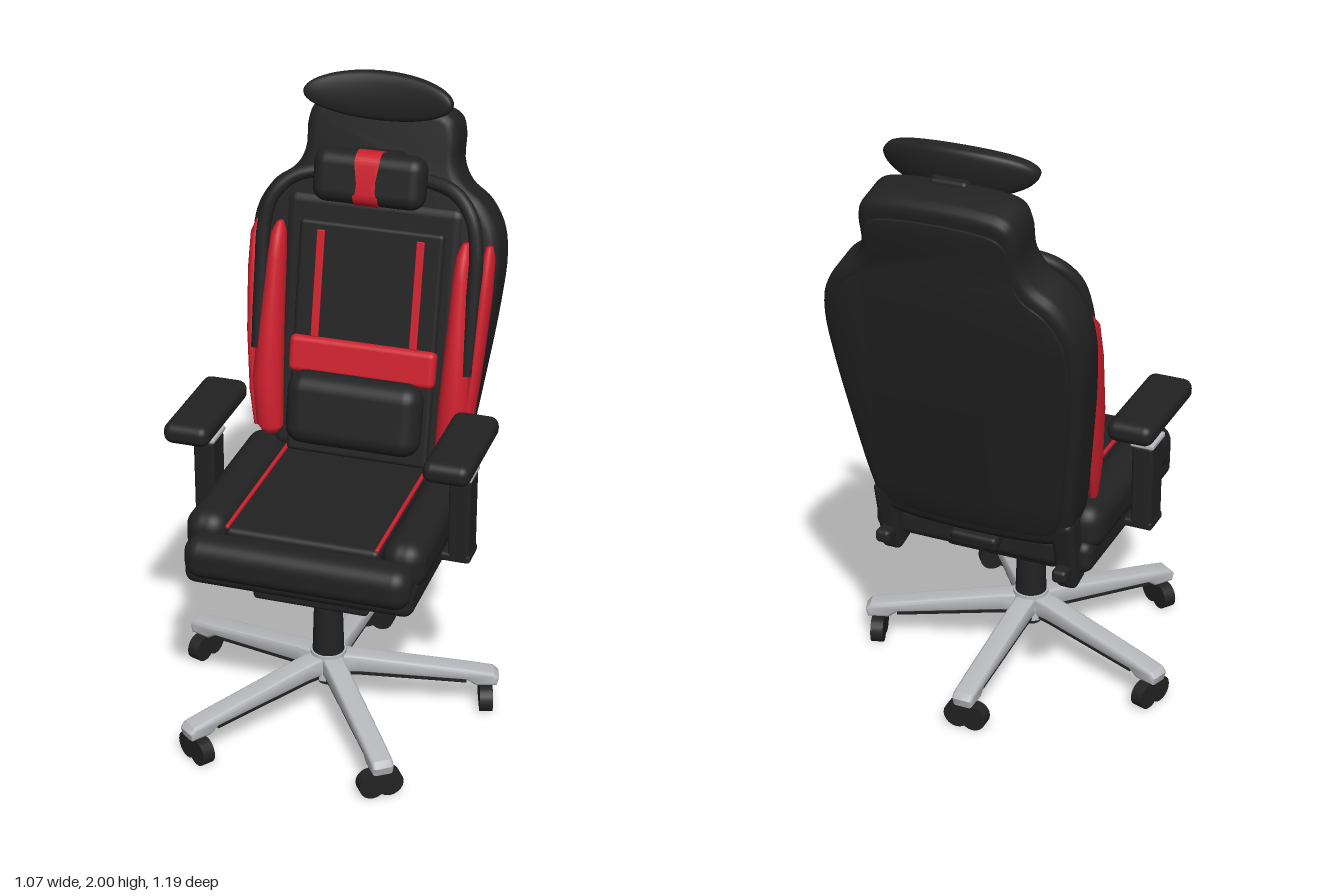
import * as THREE from 'three';
import { toCreasedNormals } from 'three/addons/utils/BufferGeometryUtils.js';
import { RoundedBoxGeometry } from 'three/addons/geometries/RoundedBoxGeometry.js';

const mat = (name, color) => {
  const m = new THREE.MeshStandardMaterial({ color });
  m.name = name;
  return m;
};

export function createModel() {
  const black = mat('black leather', 0x222222);
  const red = mat('red leather', 0xcc1f2d);
  const silver = mat('silver metal', 0xb8b9bd);
  const chair = new THREE.Group();
  chair.name = 'officeChair';

  const add = (parent, name, geo, material, pos = [0, 0, 0], rx = 0) => {
    const m = new THREE.Mesh(geo, material);
    m.name = name;
    m.position.set(...pos);
    m.rotation.x = rx;
    parent.add(m);
    return m;
  };
  const box = (parent, name, material, size, pos, r = 0.02, rx = 0) =>
    add(parent, name, new RoundedBoxGeometry(...size, 4, r), material, pos, rx);
  const cyl = (parent, name, material, r1, r2, y1, y2, z) =>
    add(parent, name, new THREE.CylinderGeometry(r1, r2, y2 - y1, 32), material, [0, (y1 + y2) / 2, z]);
  // extrusion centred on z with a rounded edge kept inside the outline
  const slab = (shape, depth, bevel, steps = 4) => {
    const g = new THREE.ExtrudeGeometry(shape, {
      depth: depth - 2 * bevel, bevelThickness: bevel, bevelSize: bevel, bevelOffset: -bevel,
      bevelSegments: steps, curveSegments: 60, bevelEnabled: bevel > 0
    });
    g.translate(0, 0, bevel - depth / 2);
    return toCreasedNormals(g, 0.6);
  };
  const poly = pts => new THREE.Shape(pts.map(p => new THREE.Vector2(...p)));

  // elliptical sections [x, y, z, rx, rz] stacked upward into a closed padded strip
  const loft = (sections, side) => {
    const n = 20, pos = [], idx = [];
    const first = sections[0], last = sections[sections.length - 1];
    const rows = [[...first.slice(0, 3), 0, 0], ...sections, [...last.slice(0, 3), 0, 0]];
    rows.forEach(([x, y, z, rx, rz], i) => {
      for (let j = 0; j < n; j++) {
        const a = j / n * Math.PI * 2;
        pos.push(side * x + rx * Math.cos(a), y, z + rz * Math.sin(a));
        if (i) {
          const a0 = (i - 1) * n + j, a1 = (i - 1) * n + (j + 1) % n;
          idx.push(a0, a0 + n, a1, a1, a0 + n, a1 + n);
        }
      }
    });
    const g = new THREE.BufferGeometry();
    g.setAttribute('position', new THREE.Float32BufferAttribute(pos, 3));
    g.setIndex(idx);
    g.computeVertexNormals();
    return g;
  };

  // five-spoke base
  const cz = 0.13;
  const spokeShape = poly([[0, 0.145], [0.1, 0.145], [0.45, 0.113], [0.48, 0.092], [0.55, 0.092],
    [0.557, 0.12], [0.54, 0.138], [0.46, 0.152], [0.1, 0.205], [0, 0.215]]);
  const underShape = poly([[0.05, 0.134], [0.1, 0.134], [0.45, 0.102], [0.45, 0.125], [0.05, 0.16]]);
  for (let k = 0; k < 5; k++) {
    const leg = new THREE.Group();
    leg.name = 'baseLeg';
    leg.position.z = cz;
    leg.rotation.y = Math.PI / 2 + k * Math.PI * 0.4;
    chair.add(leg);
    add(leg, 'spoke', slab(spokeShape, 0.07, 0.012), silver);
    add(leg, 'spokeUnderside', slab(underShape, 0.056, 0), black);
    box(leg, 'casterStem', black, [0.04, 0.07, 0.04], [0.515, 0.08, 0], 0.008);
    for (const s of [-1, 1]) {
      const wheel = add(leg, 'casterWheel', new THREE.CylinderGeometry(0.044, 0.044, 0.042, 20), black, [0.515, 0.044, s * 0.028]);
      wheel.rotation.z = Math.PI / 2;
    }
  }
  cyl(chair, 'hub', silver, 0.058, 0.065, 0.13, 0.22, cz);
  cyl(chair, 'gasLiftSleeve', black, 0.046, 0.052, 0.21, 0.4, cz);
  cyl(chair, 'gasLift', black, 0.043, 0.043, 0.4, 0.5, cz);
  cyl(chair, 'columnFoot', black, 0.035, 0.035, 0.1, 0.14, cz);

  // tilt mechanism
  box(chair, 'mechanism', black, [0.38, 0.08, 0.44], [0, 0.52, 0.1], 0.015);
  box(chair, 'mechanismMount', black, [0.2, 0.06, 0.25], [0, 0.57, 0.1], 0.01);
  box(chair, 'lever', black, [0.14, 0.022, 0.03], [0.23, 0.512, 0.2], 0.008);
  box(chair, 'leverGrip', black, [0.06, 0.034, 0.05], [0.27, 0.512, 0.2], 0.01);

  // seat
  box(chair, 'seatBase', black, [0.74, 0.11, 0.73], [0, 0.635, 0.09], 0.035);
  box(chair, 'seatCushion', black, [0.5, 0.13, 0.66], [0, 0.705, 0.07], 0.02);
  box(chair, 'seatFrontRoll', black, [0.73, 0.14, 0.13], [0, 0.68, 0.423], 0.055);

  // reclined backrest
  const tilt = -0.214;
  const back = new THREE.Group();
  back.name = 'backrest';
  back.position.set(0, 0.69, -0.33);
  back.rotation.x = tilt;
  chair.add(back);
  const half = [[0.27, 0], [0.315, 0.035], [0.34, 0.12], [0.375, 0.35], [0.405, 0.6], [0.412, 0.74], [0.395, 0.84],
    [0.345, 0.92], [0.28, 0.97], [0.25, 1.03], [0.247, 1.12], [0.23, 1.17], [0.18, 1.195]];
  const outline = (k, cy) => {
    const pts = [...half, ...half.map(([x, y]) => [-x, y]).reverse()]
      .map(([x, y]) => new THREE.Vector2(x * k, cy + (y - cy) * k));
    const curve = new THREE.CatmullRomCurve3(pts.map(p => new THREE.Vector3(p.x, p.y, 0)), true, 'centripetal');
    return new THREE.Shape(curve.getPoints(120).slice(0, -1).map(p => new THREE.Vector2(p.x, p.y)));
  };
  add(back, 'backShell', slab(outline(1, 0.6), 0.165, 0.035), black, [0, 0, 0.0825]);
  add(back, 'rearPanel', slab(outline(0.91, 0.58), 0.012, 0.005, 2), black, [0, 0, -0.001]);
  box(back, 'backPadding', black, [0.6, 0.86, 0.1], [0, 0.47, 0.125], 0.04);
  box(back, 'backCentrePanel', black, [0.48, 0.77, 0.06], [0, 0.425, 0.16], 0.015);
  box(back, 'backRedBand', red, [0.49, 0.122, 0.05], [0, 0.37, 0.185], 0.02);
  for (const s of [-1, 1])
    box(back, 'backStripe', red, [0.026, 0.35, 0.008], [s * 0.165, 0.605, 0.191], 0.003);
  box(back, 'rearTab', black, [0.16, 0.05, 0.06], [0, -0.04, 0.02], 0.015);
  box(chair, 'lumbarPillow', black, [0.45, 0.24, 0.12], [0, 0.945, -0.14], 0.058, tilt);

  // mirrored side parts
  const inner = [[0.3, 0.815, -0.18, 0.025, 0.02], [0.302, 0.84, -0.185, 0.045, 0.035], [0.315, 1, -0.205, 0.052, 0.05],
    [0.312, 1.2, -0.245, 0.04, 0.05], [0.308, 1.4, -0.29, 0.03, 0.045], [0.308, 1.47, -0.31, 0.024, 0.035], [0.308, 1.5, -0.325, 0.01, 0.015]];
  const outer = [[0.35, 0.83, -0.2, 0.012, 0.02], [0.36, 0.95, -0.215, 0.018, 0.04], [0.375, 1.15, -0.25, 0.02, 0.045],
    [0.383, 1.35, -0.295, 0.022, 0.045], [0.384, 1.46, -0.32, 0.02, 0.035], [0.382, 1.495, -0.335, 0.01, 0.015]];
  for (const s of [-1, 1]) {
    add(chair, 'innerBolster', loft(inner, s), red);
    add(chair, 'outerBolster', loft(outer, s), red);
    box(chair, 'seatBolster', black, [0.14, 0.16, 0.66], [s * 0.318, 0.72, 0.075], 0.06);
    box(chair, 'seatPiping', red, [0.012, 0.012, 0.59], [s * 0.241, 0.772, 0.1], 0.004);
    box(chair, 'hingeBracket', black, [0.07, 0.26, 0.09], [s * 0.3, 0.67, -0.28], 0.02, tilt);
    box(chair, 'hingePivot', black, [0.05, 0.045, 0.07], [s * 0.3, 0.61, -0.325], 0.015);

    // armrest
    box(chair, 'armPad', black, [0.15, 0.07, 0.39], [s * 0.418, 1, 0.092], 0.03);
    box(chair, 'armPadMount', black, [0.09, 0.03, 0.2], [s * 0.42, 0.965, 0.07], 0.01);
    box(chair, 'armUpperPost', black, [0.05, 0.1, 0.075], [s * 0.425, 0.93, 0.065], 0.01);
    box(chair, 'armCollar', silver, [0.078, 0.018, 0.108], [s * 0.422, 0.908, 0.067], 0.006);
    box(chair, 'armLowerPost', black, [0.07, 0.29, 0.1], [s * 0.422, 0.758, 0.067], 0.012);
    box(chair, 'armBracket', black, [0.2, 0.03, 0.1], [s * 0.36, 0.622, 0.067], 0.01);
  }

  // arched frame around the upper back
  const arch = [[0.35, 1.1, -0.21], [0.352, 1.35, -0.26], [0.35, 1.5, -0.29], [0.325, 1.595, -0.315],
    [0.26, 1.655, -0.35], [0.12, 1.675, -0.385]];
  const path = [...arch, ...arch.map(([x, y, z]) => [-x, y, z]).reverse()].map(p => new THREE.Vector3(...p));
  add(chair, 'archFrame', new THREE.TubeGeometry(new THREE.CatmullRomCurve3(path), 90, 0.023, 12), black);

  // neck pillow with a waisted red band
  const pillow = new THREE.Group();
  pillow.name = 'neckPillow';
  pillow.position.set(0, 1.69, -0.3);
  pillow.rotation.x = tilt;
  chair.add(pillow);
  box(pillow, 'pillowBody', black, [0.365, 0.17, 0.1], [0, 0, 0], 0.045);
  const w = 0.053, h = 0.088, r = 0.046;
  const ring = new THREE.Shape();
  ring.absarc(w - r, h - r, r, 0, Math.PI / 2);
  ring.absarc(r - w, h - r, r, Math.PI / 2, Math.PI);
  ring.absarc(r - w, r - h, r, Math.PI, Math.PI * 1.5);
  ring.absarc(w - r, r - h, r, Math.PI * 1.5, Math.PI * 2);
  const band = new THREE.ExtrudeGeometry(ring, { depth: 0.08, bevelEnabled: false, curveSegments: 8 });
  band.translate(0, 0, -0.04);
  band.rotateY(-Math.PI / 2);
  const bp = band.attributes.position;
  for (let i = 0; i < bp.count; i++)
    bp.setX(i, bp.getX(i) * (Math.abs(bp.getY(i)) < 0.05 ? 0.62 : 1));
  band.computeVertexNormals();
  add(pillow, 'pillowBand', toCreasedNormals(band, 0.6), red);
  box(chair, 'pillowMount', black, [0.2, 0.12, 0.1], [0, 1.7, -0.37], 0.03, tilt);

  // oval headrest, curved forward at its ends
  const head = new THREE.SphereGeometry(1, 48, 32);
  const hp = head.attributes.position;
  for (let i = 0; i < hp.count; i++) {
    const x = hp.getX(i) * 0.243, z = hp.getZ(i);
    hp.setXYZ(i, x, hp.getY(i) * 0.077, Math.sign(z) * Math.sqrt(Math.abs(z)) * 0.036 + 0.75 * x * x);
  }
  head.computeVertexNormals();
  add(chair, 'headrest', head, black, [0, 1.922, -0.42], -0.17);
  box(chair, 'headrestMount', black, [0.12, 0.08, 0.05], [0, 1.87, -0.445], 0.015, tilt);

  return chair;
}
